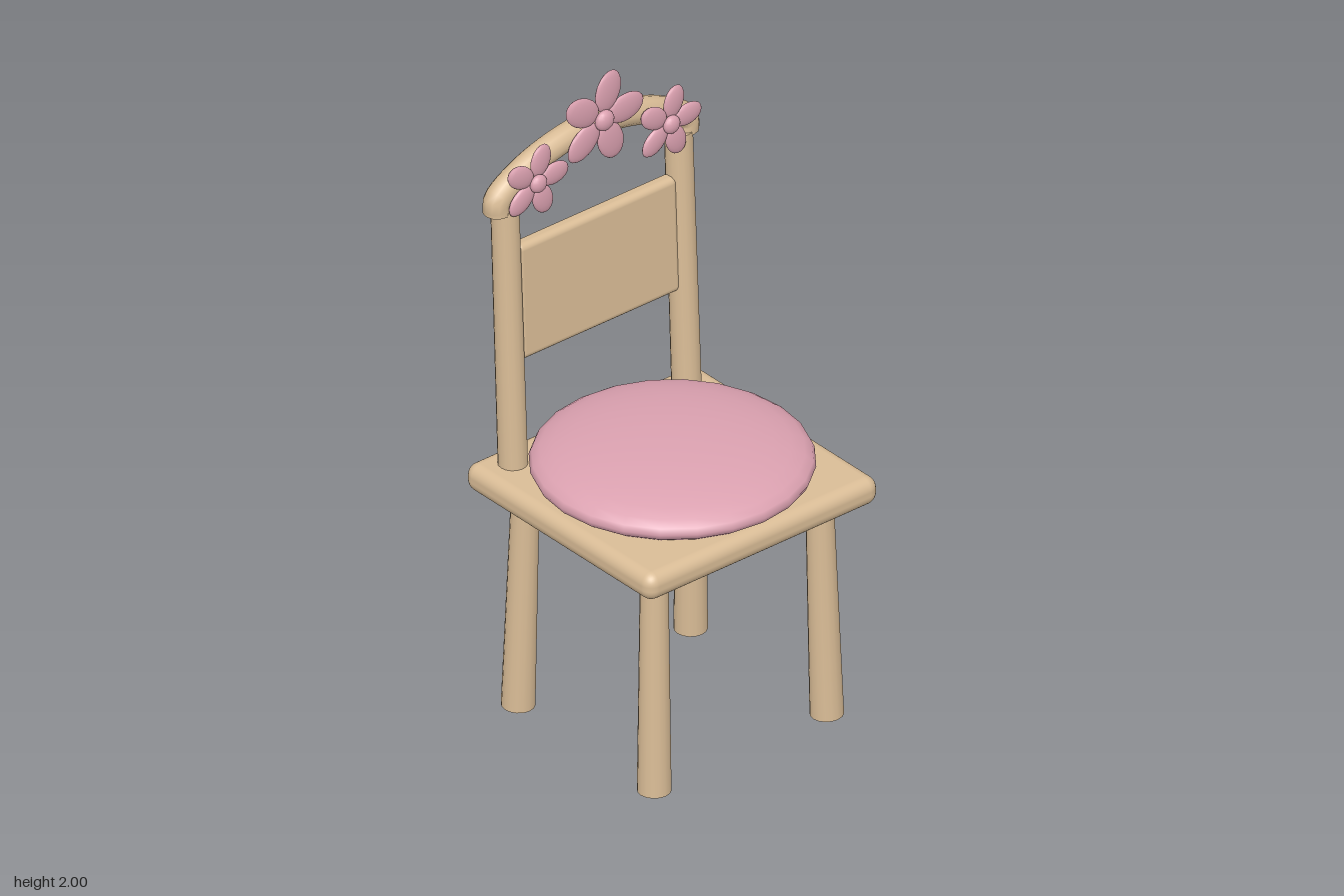
import * as THREE from 'three';
import { RoundedBoxGeometry } from 'three/addons/geometries/RoundedBoxGeometry.js';

const wood = new THREE.MeshStandardMaterial({ color: 0xd9bc96 });
wood.name = 'lightWood';
const pink = new THREE.MeshStandardMaterial({ color: 0xdba1b0 });
pink.name = 'dustyPink';

function add(parent, name, geometry, material, x = 0, y = 0, z = 0) {
  const mesh = new THREE.Mesh(geometry, material);
  mesh.name = name;
  mesh.position.set(x, y, z);
  parent.add(mesh);
  return mesh;
}

// Round bar running from one point up to another
function addBar(parent, name, from, to, rBottom, rTop) {
  const a = new THREE.Vector3(...from), b = new THREE.Vector3(...to);
  const dir = b.clone().sub(a);
  const mesh = add(parent, name, new THREE.CylinderGeometry(rTop, rBottom, dir.length(), 16), wood);
  mesh.position.copy(a).add(b).multiplyScalar(0.5);
  mesh.quaternion.setFromUnitVectors(new THREE.Vector3(0, 1, 0), dir.normalize());
}

// Five flat oval petals around a small button
function makeFlower(name, x, y, scale) {
  const flower = new THREE.Group();
  flower.name = name;
  flower.position.set(x, y, -0.315);
  for (let i = 0; i < 5; i++) {
    const angle = THREE.MathUtils.degToRad(75 + i * 72);
    const petal = add(flower, 'petal', new THREE.SphereGeometry(1, 16, 10), pink,
      Math.cos(angle) * 0.088 * scale, Math.sin(angle) * 0.088 * scale, 0);
    petal.scale.set(0.068 * scale, 0.046 * scale, 0.013);
    petal.rotation.z = angle;
  }
  const button = add(flower, 'flowerCentre', new THREE.SphereGeometry(1, 16, 10), pink, 0, 0, 0.012);
  button.scale.set(0.033 * Math.sqrt(scale), 0.033 * Math.sqrt(scale), 0.02 * Math.sqrt(scale));
  return flower;
}

export function createModel() {
  const chair = new THREE.Group();
  chair.name = 'chair';

  // Seat board and round cushion
  add(chair, 'seat', new RoundedBoxGeometry(0.87, 0.09, 0.835, 4, 0.038), wood, 0, 0.765, -0.002);
  const cushion = add(chair, 'cushion', new THREE.SphereGeometry(1, 24, 16), pink, 0, 0.845, 0);
  cushion.scale.set(0.415, 0.09, 0.415);

  for (const side of [-1, 1]) {
    // Splayed legs, thicker at the foot
    for (const end of [-1, 1]) {
      addBar(chair, end > 0 ? 'frontLeg' : 'backLeg',
        [side * 0.324, 0.002, end * 0.304], [side * 0.31, 0.75, end * 0.287], 0.05, 0.041);
    }
    // Back posts lean slightly backwards
    addBar(chair, 'backPost', [side * 0.326, 0.78, -0.324], [side * 0.326, 1.66, -0.361], 0.044, 0.042);
  }

  // Back panel between the posts
  const panel = add(chair, 'backPanel', new RoundedBoxGeometry(0.6, 0.38, 0.05, 3, 0.02), wood, 0, 1.335, -0.347);
  panel.rotation.x = -0.042;

  // Arched top rail, turning down onto the posts
  const arch = [[-0.352, 1.652], [-0.352, 1.69], [-0.26, 1.753], [-0.13, 1.796], [0, 1.81],
    [0.13, 1.796], [0.26, 1.753], [0.352, 1.69], [0.352, 1.652]];
  const curve = new THREE.CatmullRomCurve3(arch.map(([x, y]) => new THREE.Vector3(x, y, -0.364)));
  add(chair, 'topRail', new THREE.TubeGeometry(curve, 48, 0.042, 12), wood);
  for (const side of [-1, 1]) {
    const cap = add(chair, 'railEnd', new THREE.CircleGeometry(0.042, 12), wood, side * 0.352, 1.652, -0.364);
    cap.rotation.x = Math.PI / 2;
  }

  // Flowers on the front of the rail
  chair.add(makeFlower('middleFlower', 0, 1.85, 1));
  chair.add(makeFlower('rightFlower', -0.248, 1.735, 0.78));
  chair.add(makeFlower('leftFlower', 0.252, 1.735, 0.78));

  return chair;
}
